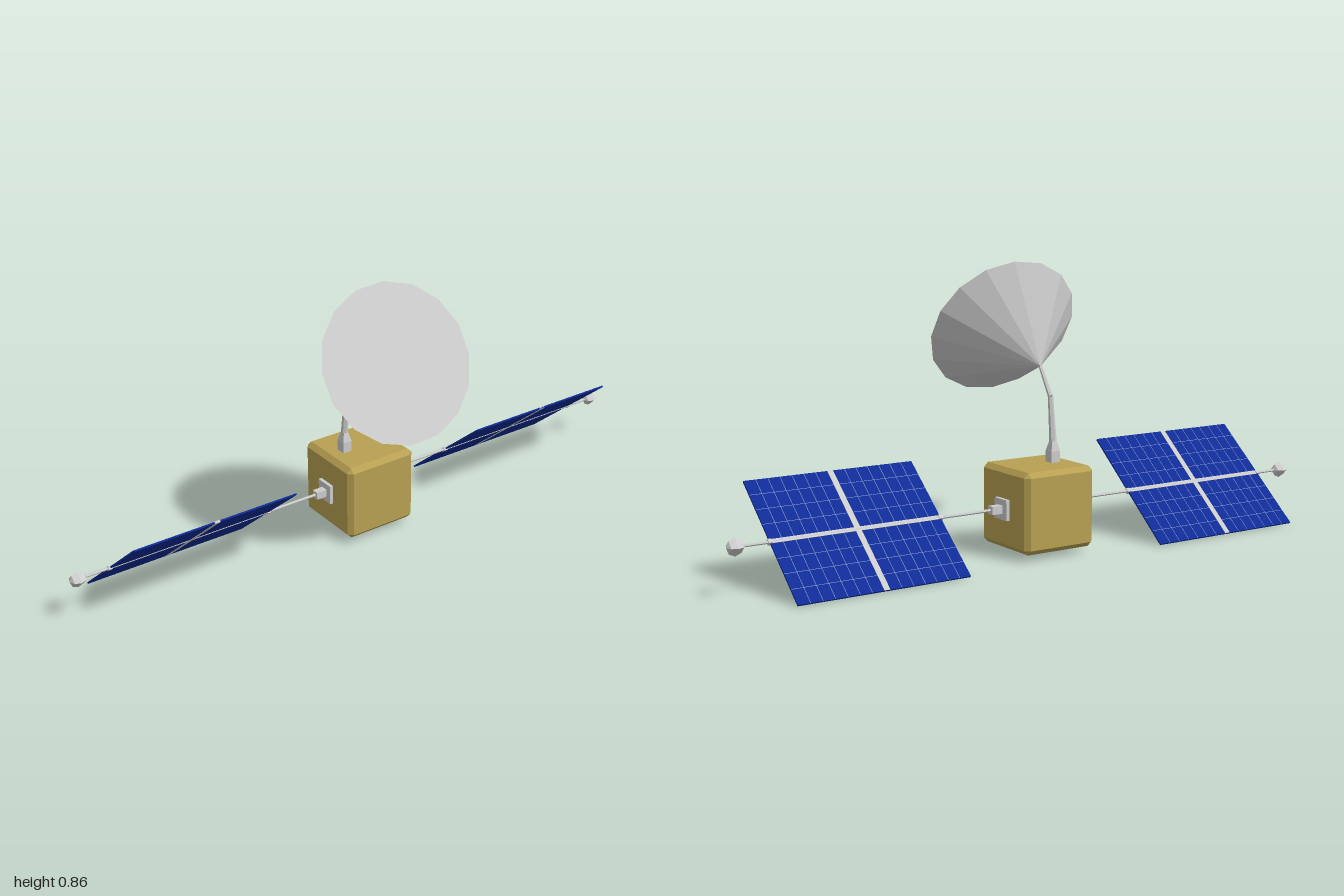
import * as THREE from 'three';
import { ConvexGeometry } from 'three/addons/geometries/ConvexGeometry.js';

const material = (color) => new THREE.MeshStandardMaterial({ color, flatShading: true });
const V = (x, y, z) => new THREE.Vector3(x, y, z);

function add(parent, name, geometry, mat, x = 0, y = 0, z = 0) {
  const mesh = new THREE.Mesh(geometry, mat);
  mesh.name = name;
  mesh.position.set(x, y, z);
  parent.add(mesh);
  return mesh;
}

// Cube with every edge and corner cut off.
function chamferedCube(half, cut) {
  const points = [];
  for (const x of [-1, 1]) for (const y of [-1, 1]) for (const z of [-1, 1]) {
    for (let axis = 0; axis < 3; axis++) {
      const p = V(x, y, z).multiplyScalar(half - cut);
      p.setComponent(axis, Math.sign(p.getComponent(axis)) * half);
      points.push(p);
    }
  }
  return new ConvexGeometry(points);
}

// Tapered bar from a to b.
function strut(parent, name, mat, a, b, ra, rb, sides) {
  const g = new THREE.CylinderGeometry(rb, ra, a.distanceTo(b), sides);
  g.rotateY(Math.PI / sides);
  const mesh = add(parent, name, g, mat);
  mesh.position.lerpVectors(a, b, 0.5);
  mesh.quaternion.setFromUnitVectors(V(0, 1, 0), b.clone().sub(a).normalize());
}

// Closed cone with its tip moved slightly off the axis.
function dishGeometry(center, normal, apex, radius) {
  const q = new THREE.Quaternion().setFromUnitVectors(V(0, 1, 0), normal);
  const tip = apex.clone().sub(center).applyQuaternion(q.clone().invert());
  const g = new THREE.ConeGeometry(radius, 0.2, 16);
  g.rotateX(Math.PI).rotateY(Math.PI / 16).translate(0, -0.1, 0);
  const pos = g.attributes.position;
  for (let i = 0; i < pos.count; i++) {
    if (pos.getY(i) < -0.1) pos.setXYZ(i, tip.x, tip.y, tip.z);
  }
  g.applyQuaternion(q).translate(center.x, center.y, center.z);
  g.computeVertexNormals();
  return g;
}

export function createModel() {
  const model = new THREE.Group();
  model.name = 'satellite';
  const grey = material(0xcccccc);
  const gold = material(0xb8a052);
  const blue = material(0x0f2b96);
  const pale = material(0x8496cc);
  const cx = -0.103, cy = 0.144;

  add(model, 'body', chamferedCube(0.122, 0.015), gold, cx, cy, 0);

  // Mast: square foot, taper, then two thin bent lengths
  const apex = V(-0.036, 0.547, 0.056);
  const mast = [V(cx, 0.26, 0.055), V(cx, 0.3, 0.055), V(cx, 0.33, 0.055), V(-0.09, 0.462, 0.055), apex];
  const radii = [0.022, 0.022, 0.011, 0.008, 0.006];
  const names = ['mastFoot', 'mastTaper', 'lowerMast', 'upperMast'];
  names.forEach((name, i) =>
    strut(model, name, grey, mast[i], mast[i + 1], radii[i], radii[i + 1], i < 2 ? 4 : 6));

  add(model, 'dish', dishGeometry(V(0.145, 0.653, 0.04), V(0.86, 0.507, 0.085).normalize(), apex, 0.24), grey);

  // Two solar wings, tilted about the z axis
  const z0 = 0.34, z1 = 0.874, mid = (z0 + z1) / 2, length = z1 - z0, width = 0.428;
  for (const s of [1, -1]) {
    const side = s > 0 ? 'front' : 'back';
    add(model, side + 'MountPlate', new THREE.BoxGeometry(0.062, 0.062, 0.014), grey, cx, cy, s * 0.126);
    add(model, side + 'MountKnob', new THREE.BoxGeometry(0.024, 0.024, 0.04), grey, cx, cy, s * 0.148);

    const wing = new THREE.Group();
    wing.name = side + 'Wing';
    wing.position.set(cx, cy, 0);
    wing.rotation.z = 0.702;
    model.add(wing);

    const rod = new THREE.CylinderGeometry(0.0045, 0.0045, 0.86, 6).rotateX(Math.PI / 2);
    add(wing, 'rod', rod, grey, 0, 0, s * 0.54);
    const tip = new THREE.SphereGeometry(0.026, 4, 4).rotateX(Math.PI / 2).rotateZ(-0.7);
    add(wing, 'rodTip', tip, grey, 0, 0, s * 0.974);

    add(wing, 'panel', new THREE.BoxGeometry(width, 0.005, length), blue, 0, 0, s * mid);
    add(wing, 'crossRail', new THREE.BoxGeometry(width, 0.007, 0.018), grey, 0, 0, s * mid);
    add(wing, 'longRail', new THREE.BoxGeometry(0.014, 0.007, length), grey, 0, 0, s * mid);
    for (const z of [z0, z1]) {
      add(wing, 'rodClip', new THREE.BoxGeometry(0.014, 0.012, 0.012), grey, 0, 0, s * z);
    }

    // Cell lines on the upper face
    for (const h of [-1, 1]) {
      for (let i = 1; i < 7; i++) {
        const z = mid + h * (0.009 + i * (length / 2 - 0.009) / 7);
        add(wing, 'cellLine', new THREE.BoxGeometry(width, 0.001, 0.0015), pale, 0, 0.0026, s * z);
      }
      for (let i = 1; i < 4; i++) {
        const x = h * (0.007 + i * (width / 2 - 0.007) / 4);
        add(wing, 'cellLine', new THREE.BoxGeometry(0.0015, 0.001, length), pale, x, 0.0026, s * mid);
      }
    }
  }
  return model;
}
